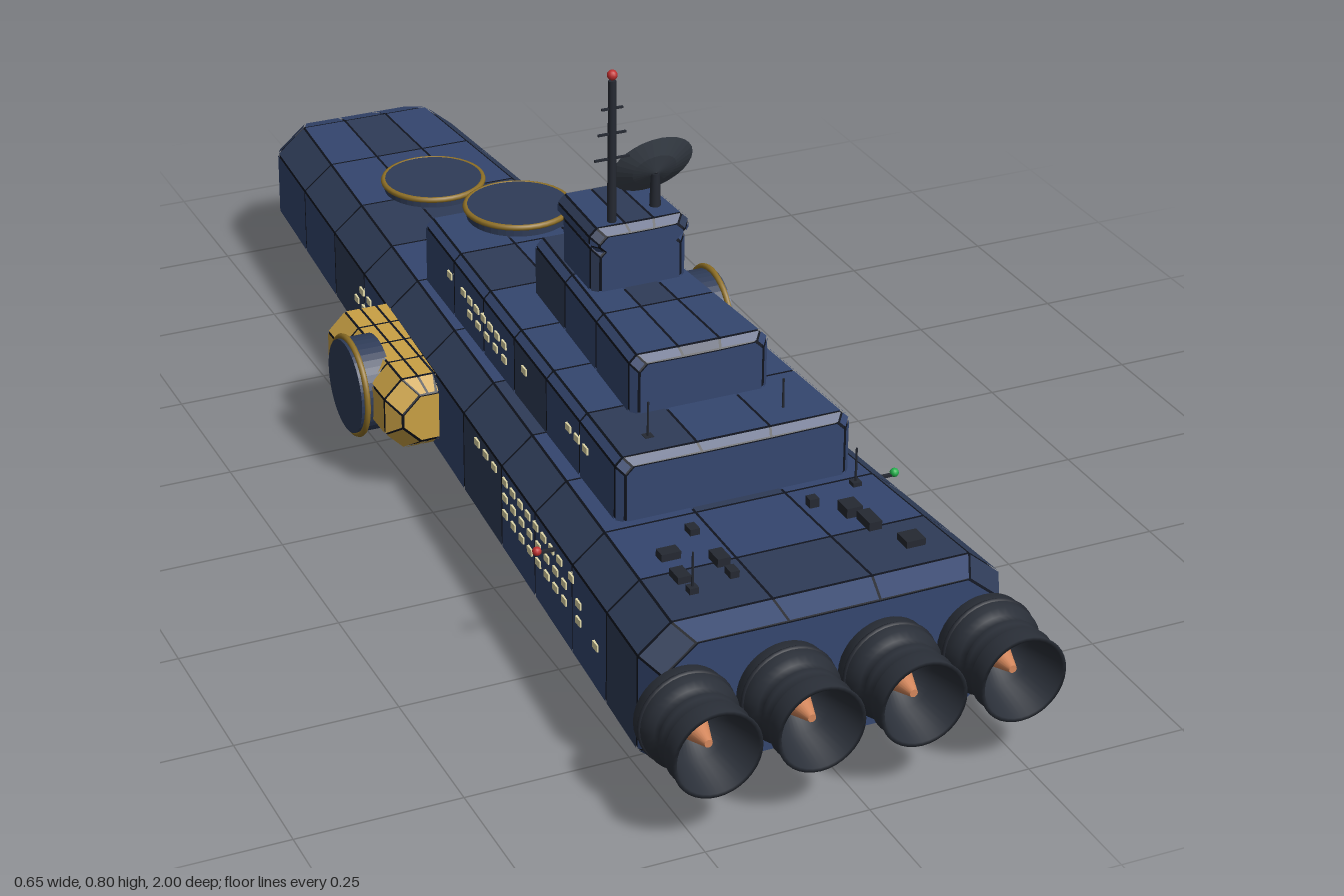
import * as THREE from 'three';

const mat = (color, extra = {}) => new THREE.MeshStandardMaterial({ color, ...extra });
const M = {
  blue: mat(0x34466f, { flatShading: true }),
  slate: mat(0x2f3c58, { flatShading: true }),
  seam: mat(0x11151f, { flatShading: true }),
  dark: mat(0x252932),
  darkThin: mat(0x2b3039, { side: THREE.DoubleSide }),
  dish: mat(0x3d444e, { side: THREE.DoubleSide, flatShading: true }),
  gold: mat(0xc9a044, { flatShading: true }),
  trim: mat(0x8f7026),
  glow: mat(0xd4875c),
  window: mat(0xe0d8a8),
  red: mat(0xc03030),
  green: mat(0x22b14c),
};
const lerp = THREE.MathUtils.lerp;

function add(parent, name, geo, material, x = 0, y = 0, z = 0) {
  const m = new THREE.Mesh(geo, material);
  m.name = name;
  m.position.set(x, y, z);
  parent.add(m);
  return m;
}
const box = (p, n, m, sx, sy, sz, x, y, z) => add(p, n, new THREE.BoxGeometry(sx, sy, sz), m, x, y, z);
const cyl = (p, n, m, r0, r1, h, x, y, z, seg = 32) => add(p, n, new THREE.CylinderGeometry(r0, r1, h, seg), m, x, y, z);

// Chamfered cross-section, anticlockwise seen from +z; flat top and bottom split in three
function ring(z, cx, w, yb, yt, ch, cv) {
  const t = w - ch;
  return [[w, yb + cv], [w, yt - cv], [t, yt], [t / 3, yt], [-t / 3, yt], [-t, yt],
    [-w, yt - cv], [-w, yb + cv], [-t, yb], [-t / 3, yb], [t / 3, yb], [t, yb]]
    .map(([x, y]) => new THREE.Vector3(cx + x, y, z));
}

function toMesh(parent, name, pts, material) {
  const g = new THREE.BufferGeometry().setFromPoints(pts);
  g.computeVertexNormals();
  return add(parent, name, g, material);
}

// Separate plates over a dark core, so the gaps read as seams
function plated(parent, name, rings, tones, seed = 1) {
  const group = new THREE.Group();
  group.name = name;
  parent.add(group);
  const lists = [[], []], core = [];
  const mid = r => r.reduce((s, p) => s.add(p), new THREE.Vector3()).divideScalar(r.length);
  const pull = (p, c, d) => p.clone().add(c.clone().sub(p).setLength(Math.min(d, p.distanceTo(c) * 0.4)));
  const quad = (out, a, b, c, d) => out.push(a, b, c, a, c, d);
  const last = rings.length - 1;
  const inner = rings.map((r, k) => r.map(p => {
    const q = pull(p, mid(r), 0.003);
    q.z += k === 0 ? 0.003 : k === last ? -0.003 : 0;
    return q;
  }));
  const side = (p, along, across) => {
    const shift = q => q.clone().sub(p).multiplyScalar(Math.min(0.2, 0.002 / p.distanceTo(q)));
    return p.clone().add(shift(along)).add(shift(across));
  };
  for (let k = 0; k < last; k++) for (let i = 0; i < rings[0].length; i++) {
    const j = (i + 1) % rings[0].length;
    const [a, b, c, d] = [rings[k][i], rings[k][j], rings[k + 1][j], rings[k + 1][i]];
    const tone = (k * 7 + i * 5 + seed * 3 + k * i) % 4 === 0 ? 1 : 0;
    quad(lists[tone], side(a, b, d), side(b, a, c), side(c, d, b), side(d, c, a));
    quad(core, inner[k][i], inner[k][j], inner[k + 1][j], inner[k + 1][i]);
  }
  for (const [k, flip] of [[0, true], [last, false]]) {
    for (const [src, out] of [[rings[k].map(p => pull(p, mid(rings[k]), 0.003)), lists[0]], [inner[k], core]]) {
      const c = mid(src);
      src.forEach((p, i) => {
        const q = src[(i + 1) % src.length];
        flip ? out.push(c, q, p) : out.push(c, p, q);
      });
    }
  }
  toMesh(group, name + 'Core', core, M.seam);
  lists.forEach((l, i) => l.length && toMesh(group, name + 'Plates' + (i + 1), l, tones[i]));
  return group;
}

const hullAt = z => {
  const t = (z + 0.95) / 1.79;
  return { w: lerp(0.165, 0.28, t), yb: lerp(0.057, 0.037, t), yt: lerp(0.252, 0.272, t) };
};
const hullRing = (z, s = 0, zs = z) => {
  const h = hullAt(z);
  return ring(zs, 0, h.w - s, h.yb + s * 0.8, h.yt - s * 0.8, 0.05, 0.042);
};

// Tapered deckhouse with bevelled ends; w0 at the bow end, w1 at the stern end
function deckhouse(parent, name, z0, z1, w0, w1, yb, yt, bays, seed) {
  const b = 0.012, at = (z, s, zs) =>
    ring(zs, 0, lerp(w0, w1, (z - z0) / (z1 - z0)) - s, yb, yt - s, b, b);
  const rings = [at(z0, b, z0)];
  for (let i = 0; i <= bays; i++) {
    const z = lerp(z0 + b, z1 - b, i / bays);
    rings.push(at(z, 0, z));
  }
  rings.push(at(z1, b, z1));
  return plated(parent, name, rings, [M.blue, M.slate], seed);
}

// Round emplacement with a gold rim
function turret(parent, name, y, z, h, up) {
  const g = new THREE.Group();
  g.name = name;
  g.position.set(0, y, z);
  g.scale.y = 1;
  if (!up) g.rotation.x = Math.PI;
  cyl(g, 'turretBase', M.slate, 0.083, 0.083, h, 0, h / 2, 0, 40);
  add(g, 'turretRim', new THREE.TorusGeometry(0.084, 0.005, 8, 40), M.trim, 0, h - 0.004, 0).rotation.x = Math.PI / 2;
  parent.add(g);
}

export function createModel() {
  const ship = new THREE.Group();
  ship.name = 'starship';

  // Main hull
  const stations = [-0.95, -0.78, -0.6, -0.43, -0.29, -0.1, 0.09, 0.27, 0.42, 0.58, 0.72, 0.84];
  plated(ship, 'hull', [hullRing(-0.95, 0.02, -1), ...stations.map(z => hullRing(z)), hullRing(0.84, 0.02, 0.88)],
    [M.blue, M.slate]);

  // Superstructure
  deckhouse(ship, 'lowerDeckhouse', -0.3, 0.565, 0.142, 0.187, 0.24, 0.368, 6, 2);
  deckhouse(ship, 'middleDeckhouse', 0.01, 0.445, 0.082, 0.112, 0.345, 0.459, 3, 3);
  deckhouse(ship, 'bridgeTower', 0.095, 0.23, 0.072, 0.078, 0.44, 0.54, 1, 4);
  deckhouse(ship, 'bridgeRoof', 0.08, 0.235, 0.076, 0.082, 0.523, 0.562, 1, 5);
  box(ship, 'bridgeWindow', M.dark, 0.13, 0.02, 0.01, 0, 0.515, 0.095);
  box(ship, 'bridgeTrim', M.trim, 0.12, 0.007, 0.012, 0, 0.496, 0.095);

  // Turrets above and below
  turret(ship, 'upperTurretAft', 0.32, -0.245, 0.068, true);
  turret(ship, 'upperTurretFore', 0.245, -0.62, 0.03, true);
  turret(ship, 'lowerTurretAft', 0.05, 0.45, 0.026, false);
  turret(ship, 'lowerTurretFore', 0.06, -0.49, 0.024, false);

  // Side pods with round shields
  for (const s of [1, -1]) {
    const pod = (z, k) => ring(z, s * 0.235, 0.07 - k, 0.095 + k, 0.217 - k, 0.03, 0.03);
    plated(ship, s > 0 ? 'leftPod' : 'rightPod',
      [pod(-0.342, 0.02), ...[-0.315, -0.25, -0.185, -0.12, -0.06].map(z => pod(z, 0)), pod(-0.033, 0.02)], [M.gold, M.gold]);
    cyl(ship, 'podShield', M.slate, 0.076, 0.076, 0.055, s * 0.297, 0.155, -0.183, 40).rotation.z = Math.PI / 2;
    add(ship, 'podShieldRim', new THREE.TorusGeometry(0.079, 0.005, 8, 40), M.trim, s * 0.316, 0.155, -0.183).rotation.y = Math.PI / 2;
  }

  // Engines: ribbed open bells with a glowing core
  const bell = [[0.05, 0.86], [0.071, 0.88], [0.071, 0.92], [0.06, 0.925], [0.06, 0.94], [0.064, 0.945], [0.061, 0.95],
    [0.061, 0.965], [0.066, 0.97], [0.062, 0.975], [0.067, 1], [0.061, 1], [0.045, 0.94], [0.022, 0.915], [0, 0.915]];
  const bellGeo = new THREE.LatheGeometry(bell.map(([r, z]) => new THREE.Vector2(r, z)), 36);
  bellGeo.rotateX(Math.PI / 2);
  for (const x of [-0.233, -0.078, 0.078, 0.233]) {
    add(ship, 'engineBell', bellGeo, M.darkThin, x, 0.155, 0);
    cyl(ship, 'engineGlow', M.glow, 0.006, 0.022, 0.05, x, 0.155, 0.945, 20).rotation.x = Math.PI / 2;
    add(ship, 'engineCollar', new THREE.TorusGeometry(0.07, 0.004, 6, 36), M.dark, x, 0.155, 0.9);
  }

  // Lit windows on both flanks: [y, from z, to z, count]
  const hullRows = [[0.207, 0.58, 0.58, 1], [0.207, 0.53, 0.29, 8], [0.207, 0.24, 0.16, 3], [0.18, 0.61, 0.61, 1],
    [0.18, 0.55, 0.29, 8], [0.18, -0.36, -0.44, 3], [0.152, 0.68, 0.61, 2], [0.152, 0.55, 0.29, 8], [0.152, -0.39, -0.47, 3]];
  const deckRows = [[0.325, 0.44, 0.37, 3], [0.325, 0.18, 0.18, 1], [0.325, 0.09, -0.1, 7], [0.325, -0.165, -0.165, 1], [0.3, 0.09, -0.07, 5]];
  const rows = (list, name, widthAt) => {
    for (const [y, a, b, n] of list) for (let i = 0; i < n; i++) for (const s of [1, -1]) {
      const z = n > 1 ? lerp(a, b, i / (n - 1)) : a;
      box(ship, name, M.window, 0.006, 0.011, 0.017, s * widthAt(z), y, z);
    }
  };
  rows(hullRows, 'hullWindow', z => hullAt(z).w);
  rows(deckRows, 'deckWindow', z => lerp(0.142, 0.187, (z + 0.3) / 0.865));

  // Mast with crossbars and beacon
  cyl(ship, 'mast', M.dark, 0.006, 0.007, 0.23, -0.039, 0.673, 0.21, 10);
  for (const [y, l] of [[0.664, 0.056], [0.704, 0.045], [0.744, 0.034]])
    box(ship, 'mastCrossbar', M.dark, l, 0.003, 0.004, -0.039, y, 0.21);
  add(ship, 'mastBeacon', new THREE.SphereGeometry(0.008, 12, 8), M.red, -0.039, 0.797, 0.21);

  // Dish antenna, facing the bow and tilted upward
  cyl(ship, 'dishPost', M.dark, 0.007, 0.009, 0.06, 0.043, 0.585, 0.185, 10);
  const dish = new THREE.Group();
  dish.name = 'dishAntenna';
  dish.position.set(0.043, 0.615, 0.188);
  dish.rotation.x = -Math.PI / 3;
  add(dish, 'dishBowl', new THREE.LatheGeometry([[0, 0], [0.035, 0.007], [0.065, 0.018]].map(p => new THREE.Vector2(...p)), 28), M.dish);
  cyl(dish, 'dishFeed', M.dark, 0.002, 0.003, 0.045, 0, 0.022, 0, 8);
  add(dish, 'dishFeedTip', new THREE.SphereGeometry(0.005, 8, 6), M.dark, 0, 0.045, 0);
  ship.add(dish);

  // Deck fittings, whip antennas and bow hatches: [x, z, width, height, depth]
  for (const [x, z, w, h, d] of [[-0.16, 0.68, 0.03, 0.012, 0.02], [-0.1, 0.72, 0.02, 0.014, 0.03], [-0.1, 0.63, 0.015, 0.01, 0.02],
    [0.13, 0.67, 0.025, 0.016, 0.03], [0.14, 0.71, 0.02, 0.014, 0.04], [0.17, 0.78, 0.03, 0.012, 0.03],
    [-0.17, 0.74, 0.02, 0.012, 0.03], [0.09, 0.63, 0.015, 0.014, 0.015], [-0.1, 0.76, 0.014, 0.012, 0.02]])
    box(ship, 'deckFitting', M.dark, w, h, d, x, 0.27 + h / 2, z);
  for (const [x, y, z] of [[-0.17, 0.3, 0.78], [-0.115, 0.388, 0.51], [0.1, 0.38, 0.51], [0.175, 0.295, 0.6]]) {
    cyl(ship, 'whipAntenna', M.dark, 0.0015, 0.002, 0.07, x, y, z, 6);
    box(ship, 'whipAntennaFoot', M.dark, 0.014, 0.012, 0.014, x, y - 0.025, z);
  }

  // Belly fittings
  for (const [x, z, r] of [[0.1, 0.6, 0.018], [0.03, 0.63, 0.017], [-0.155, 0.68, 0.012]]) {
    cyl(ship, 'bellyTank', M.dark, r, r, 0.06, x, r + 0.004, z, 14).rotation.x = Math.PI / 2;
    box(ship, 'bellyTankMount', M.dark, r, 0.03, 0.03, x, 0.03, z);
  }
  for (const [x, z] of [[-0.1, 0.2], [0.12, 0.15], [0.08, -0.1], [-0.08, -0.3], [0.07, -0.7], [-0.06, -0.8], [-0.15, 0.35], [0.16, 0.75]])
    box(ship, 'bellyHatch', M.dark, 0.03, 0.01, 0.04, x, hullAt(z).yb - 0.001, z);

  // Navigation lights: green on the left, red on the right
  for (const [s, m] of [[1, M.green], [-1, M.red]]) {
    box(ship, 'lightBracket', M.dark, 0.035, 0.004, 0.006, s * 0.27, 0.215, 0.51);
    add(ship, 'navigationLight', new THREE.SphereGeometry(0.007, 10, 8), m, s * 0.288, 0.218, 0.51);
  }
  return ship;
}
